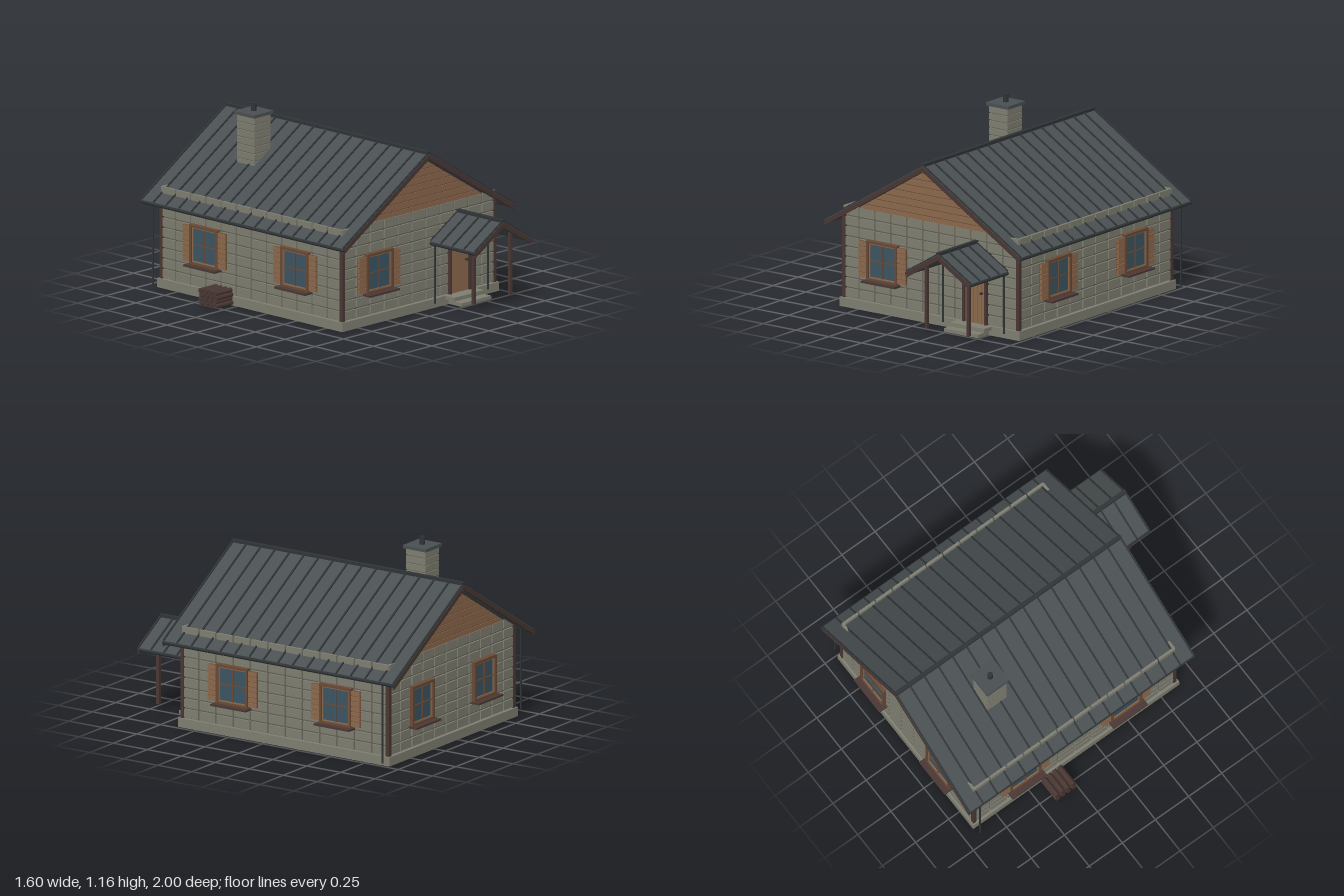
import * as THREE from 'three';
import { mergeGeometries } from 'three/addons/utils/BufferGeometryUtils.js';

const mat = (name, color) => Object.assign(new THREE.MeshStandardMaterial({ color }), { name });

export function createModel() {
  const M = {
    stone: mat('stone', 0x7f7f72),
    mortar: mat('mortar', 0x605f55),
    roof: mat('roofMetal', 0x4a5052),
    seam: mat('darkMetal', 0x303537),
    wood: mat('wood', 0x8d6a4d),
    frame: mat('frameWood', 0x6b4a35),
    dark: mat('darkWood', 0x4a3834),
    glass: mat('glass', 0x3c5562),
  };
  const CX = 0.045, CZ = -0.143, HX = 0.67, HZ = 0.763; // house centre and half sizes
  const model = new THREE.Group();
  model.name = 'cottage';

  const add = (parent, name, geo, material) => {
    const m = new THREE.Mesh(geo, material);
    m.name = name;
    parent.add(m);
    return m;
  };
  const boxGeo = (w, h, d, x, y, z) => new THREE.BoxGeometry(w, h, d).translate(x, y, z);
  // box given by its limits
  const span = (x0, x1, y0, y1, z0, z1) =>
    boxGeo(x1 - x0, y1 - y0, z1 - z0, (x0 + x1) / 2, (y0 + y1) / 2, (z0 + z1) / 2);
  const prism = (pts, z0, z1) => new THREE.ExtrudeGeometry(
    new THREE.Shape(pts.map(p => new THREE.Vector2(p[0], p[1]))),
    { depth: z1 - z0, bevelEnabled: false }).translate(0, 0, z0);
  const pipeGeo = (r, len, x, y, z, sides = 8) =>
    new THREE.CylinderGeometry(r, r, len, sides).translate(x, y, z);

  // Foundation and wall core
  add(model, 'foundation', span(-0.64, 0.73, 0, 0.057, -0.92, 0.635), M.stone);
  const K = 0.611, RIDGE = 1.0, bx = HX - 0.012, bz = HZ - 0.012;
  const under = dx => RIDGE - 0.03 - K * dx;
  add(model, 'wallCore', prism([
    [CX - bx, 0.05], [CX + bx, 0.05], [CX + bx, under(bx)], [CX, under(0)], [CX - bx, under(bx)],
  ], CZ - bz, CZ + bz), M.mortar);

  // Stone courses on all four walls
  const stones = [];
  const ROWS = 9, y0 = 0.057, rowH = (0.635 - y0) / ROWS, gap = 0.011;
  const wallStones = (half, dist, cols, angle) => {
    const w = half * 2 / cols;
    for (let r = 0; r < ROWS; r++) for (let c = 0; c < cols; c++) {
      stones.push(boxGeo(w - gap, rowH - gap, 0.016, -half + (c + 0.5) * w, y0 + (r + 0.5) * rowH, dist - 0.008)
        .rotateY(angle).translate(CX, 0, CZ));
    }
  };
  [0, Math.PI].forEach(a => wallStones(HX, HZ, 11, a));
  [Math.PI / 2, -Math.PI / 2].forEach(a => wallStones(HZ, HX, 12, a));
  add(model, 'wallStones', mergeGeometries(stones), M.stone);

  // Corner boards
  for (const sx of [-1, 1]) for (const sz of [-1, 1]) {
    add(model, 'cornerBoard', boxGeo(0.024, 0.52, 0.024, CX + sx * (HX - 0.008), 0.315, CZ + sz * (HZ - 0.008)), M.dark);
  }

  // Gable planks, each course tapering with the roof
  const PL = 9, g0 = 0.578, gH = (RIDGE - 0.03 - g0) / PL;
  for (const sz of [-1, 1]) for (let i = 0; i < PL; i++) {
    const a = g0 + i * gH, b = a + gH - 0.006;
    const wa = (under(0) - a) / K, wb = Math.max((under(0) - b) / K, 0.001);
    const z = CZ + sz * (bz + 0.002);
    add(model, 'gablePlank', prism([[CX - wa, a], [CX + wa, a], [CX + wb, b], [CX - wb, b]], z - 0.005, z + 0.005), M.wood);
    const back = CZ + sz * (bz - 0.002);
    add(model, 'gablePlankJoint', prism([[CX - wb, b - 0.002], [CX + wb, b - 0.002], [CX + wb * 0.97, b + 0.008], [CX - wb * 0.97, b + 0.008]],
      back - 0.004, back + 0.004), M.frame);
  }

  // Pitched roof: sheet, standing seams, barge boards, ridge cap and gutters
  const pitchedRoof = (name, cx, ridge, half, k, zBack, zFront, n, bargeBack) => {
    const g = new THREE.Group();
    g.name = name;
    model.add(g);
    const chevron = (top, bottom, h, za, zb) => prism([
      [cx - h, ridge + bottom - k * h], [cx, ridge + bottom], [cx + h, ridge + bottom - k * h],
      [cx + h, ridge + top - k * h], [cx, ridge + top], [cx - h, ridge + top - k * h],
    ], za, zb);
    add(g, 'roofSheet', chevron(0, -0.022, half, zBack, zFront), M.roof);
    const step = (zFront - zBack) / n;
    for (let i = 0; i <= n; i++) {
      const z = Math.min(Math.max(zBack + i * step, zBack + 0.006), zFront - 0.006);
      add(g, 'roofSeam', chevron(0.009, -0.002, half, z - 0.005, z + 0.005), M.seam);
    }
    const ends = bargeBack ? [zBack - 0.002, zFront - 0.012] : [zFront - 0.012];
    for (const z of ends) add(g, 'bargeBoard', chevron(-0.004, -0.036, half, z, z + 0.014), M.dark);
    add(g, 'ridgeCap', boxGeo(0.026, 0.018, zFront - zBack, cx, ridge + 0.003, (zBack + zFront) / 2), M.seam);
    for (const s of [-1, 1]) {
      add(g, 'gutter', pipeGeo(0.012, zFront - zBack, 0, 0, 0).rotateX(Math.PI / 2)
        .translate(cx + s * (half - 0.004), ridge - k * half - 0.012, (zBack + zFront) / 2), M.seam);
    }
  };
  pitchedRoof('mainRoof', CX, RIDGE, 0.745, K, -0.997, 0.705, 16, true);
  pitchedRoof('porchRoof', 0.388, 0.562, 0.243, 0.6, 0.61, 0.998, 4, false);

  // Downpipes
  for (const s of [-1, 1]) {
    add(model, 'downpipe', pipeGeo(0.006, 0.5, CX + s * 0.735, 0.28, -0.905), M.seam);
    add(model, 'porchDownpipe', pipeGeo(0.006, 0.38, 0.39 + s * 0.232, 0.22, 0.645), M.seam);
    add(model, 'porchPost', span(0.379 + s * 0.16, 0.399 + s * 0.16, 0.06, 0.45, 0.892, 0.912), M.dark);
  }

  // Entrance steps
  add(model, 'upperStep', span(0.26, 0.52, 0.034, 0.058, 0.62, 0.71), M.stone);
  add(model, 'lowerStep', span(0.26, 0.52, 0.012, 0.034, 0.66, 0.77), M.stone);

  // Door
  const door = new THREE.Group();
  door.name = 'door';
  door.position.set(0.39, 0.057, CZ + HZ);
  model.add(door);
  add(door, 'doorBacking', span(-0.08, 0.08, 0, 0.385, -0.01, 0.004), M.frame);
  for (let i = 0; i < 5; i++) {
    const x = -0.076 + i * 0.0304;
    add(door, 'doorPlank', span(x + 0.0015, x + 0.0289, 0, 0.376, 0, 0.01), M.wood);
  }
  for (const s of [-1, 1]) add(door, 'doorJamb', boxGeo(0.016, 0.395, 0.03, s * 0.084, 0.1975, 0.005), M.dark);
  add(door, 'doorHead', boxGeo(0.184, 0.016, 0.03, 0, 0.387, 0.005), M.dark);
  add(door, 'doorHandle', boxGeo(0.012, 0.012, 0.02, 0.053, 0.195, 0.018), M.seam);

  // Windows, built facing +z and turned onto each wall
  const addWindow = (x, z, angle, shutters) => {
    const g = new THREE.Group();
    g.name = 'window';
    g.position.set(x, 0.32, z);
    g.rotation.y = angle;
    model.add(g);
    add(g, 'glass', boxGeo(0.21, 0.23, 0.009, 0, 0, 0.0035), M.glass);
    for (const s of [-1, 1]) {
      add(g, 'frameSide', boxGeo(0.016, 0.25, 0.03, s * 0.108, 0, 0.008), M.frame);
      add(g, 'frameRail', boxGeo(0.232, 0.016, 0.03, 0, s * 0.117, 0.008), M.frame);
      add(g, 'sashSide', boxGeo(0.007, 0.22, 0.018, s * 0.0965, 0, 0.006), M.wood);
      add(g, 'sashRail', boxGeo(0.2, 0.007, 0.018, 0, s * 0.1055, 0.006), M.wood);
    }
    add(g, 'mullion', boxGeo(0.007, 0.22, 0.012, 0, 0, 0.008), M.frame);
    add(g, 'transom', boxGeo(0.2, 0.007, 0.012, 0, 0, 0.008), M.frame);
    add(g, 'sill', boxGeo(0.26, 0.012, 0.065, 0, -0.128, 0.0285), M.dark);
    if (!shutters) return;
    for (const s of [-1, 1]) {
      add(g, 'shutterPanel', boxGeo(0.06, 0.225, 0.012, s * 0.148, 0, 0.006), M.frame);
      for (let i = 0; i < 7; i++) {
        add(g, 'shutterSlat', boxGeo(0.062, 0.028, 0.014, s * 0.148, -0.0975 + i * 0.0325, 0.011), M.wood);
      }
    }
  };
  addWindow(-0.315, CZ + HZ, 0, true);
  for (const s of [-1, 1]) {
    addWindow(CX + s * 0.33, CZ - HZ, Math.PI, false);
    for (const z of [0.235, -0.525]) addWindow(CX + s * HX, z, s * Math.PI / 2, true);
  }

  // Chimney with stone courses, cap and flue
  add(model, 'chimneyCore', span(-0.302, -0.176, 0.6, 1.085, -0.559, -0.427), M.mortar);
  for (let i = 0; i < 9; i++) {
    const y = 0.68 + i * 0.0455;
    add(model, 'chimneyCourse', span(-0.309, -0.169, y, y + 0.039, -0.566, -0.42), M.stone);
  }
  add(model, 'chimneyCap', span(-0.324, -0.154, 1.085, 1.105, -0.578, -0.408), M.roof);
  add(model, 'flue', pipeGeo(0.017, 0.055, -0.239, 1.128, -0.493, 12), M.seam);

  // Stacked firewood beside the left wall
  for (let r = 0; r < 4; r++) for (let c = 0; c < 4; c++) {
    add(model, 'log', pipeGeo(0.0165, 0.142, 0, 0, 0).rotateZ(Math.PI / 2)
      .translate(-0.729, 0.026 + r * 0.025, -0.276 - c * 0.04 - (r % 2) * 0.008), M.dark);
  }
  return model;
}
